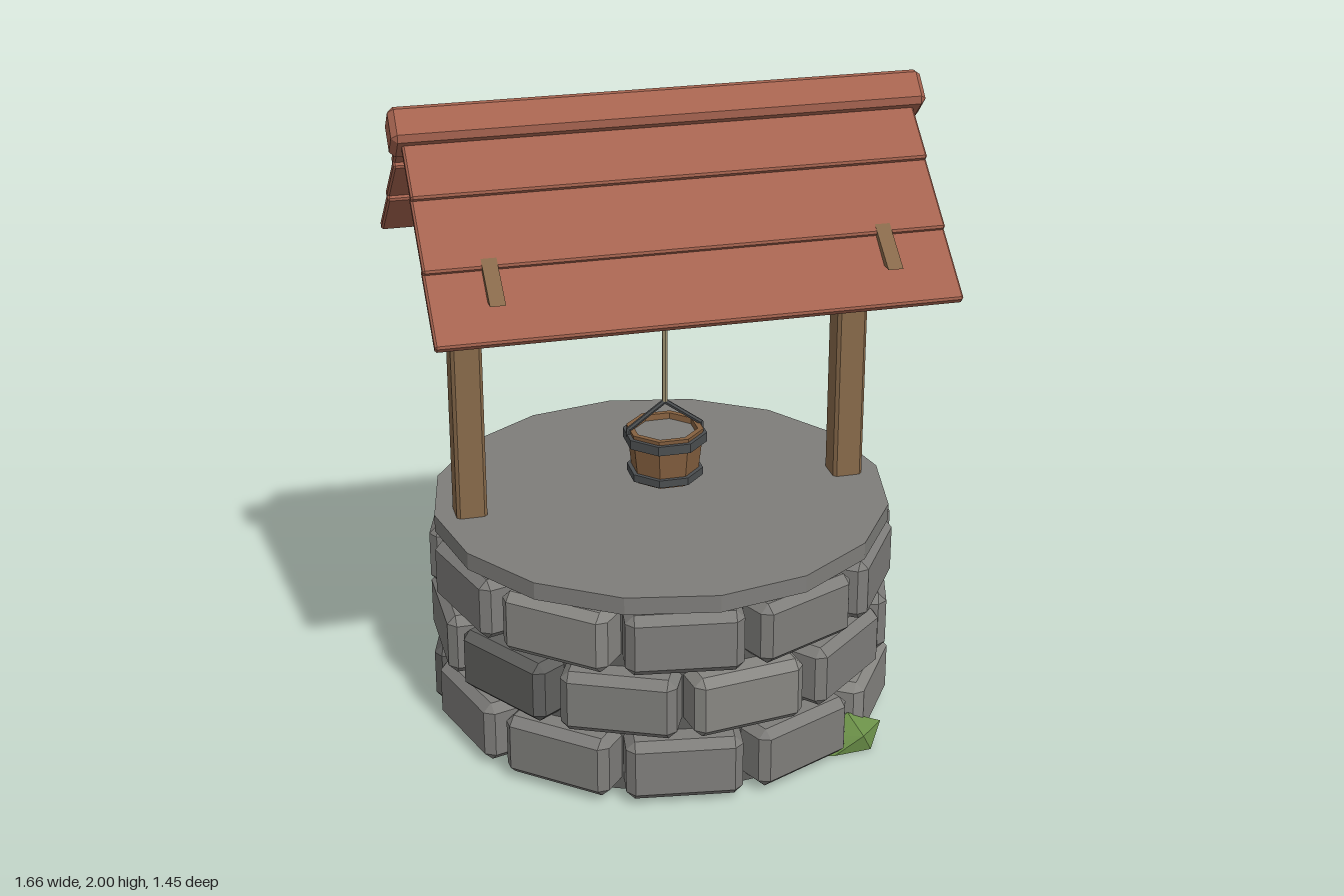
import * as THREE from 'three';
import { ConvexGeometry } from 'three/addons/geometries/ConvexGeometry.js';

const paint = (name, color) => {
  const m = new THREE.MeshStandardMaterial({ color, flatShading: true });
  m.name = name;
  return m;
};

// Box with one flat chamfer along every edge
function chamferBox(w, h, d, b) {
  const pts = [];
  for (const sx of [-1, 1]) for (const sy of [-1, 1]) for (const sz of [-1, 1]) {
    const x = sx * w / 2, y = sy * h / 2, z = sz * d / 2;
    const cx = x - sx * b, cy = y - sy * b, cz = z - sz * b;
    pts.push(new THREE.Vector3(x, cy, cz), new THREE.Vector3(cx, y, cz), new THREE.Vector3(cx, cy, z));
  }
  return new ConvexGeometry(pts);
}

export function createModel() {
  const stone = paint('stone', 0x7e7d7a);
  const darkStone = paint('dark stone', 0x5f5f5d);
  const lightStone = paint('light stone', 0x878682);
  const mortar = paint('mortar', 0x5c5c5a);
  const roofRed = paint('roof red', 0xa5634f);
  const wood = paint('wood', 0x87694a);
  const bucketWood = paint('bucket wood', 0x85603f);
  const ropeTan = paint('rope', 0x9c9070);
  const iron = paint('iron', 0x4b4e50);
  const leaf = paint('leaf green', 0x6c9149);

  const model = new THREE.Group();
  model.name = 'well';
  const cx = -0.033; // axis of the well
  const add = (name, geo, mat, x = 0, y = 0, z = 0, parent = model) => {
    const mesh = new THREE.Mesh(geo, mat);
    mesh.name = name;
    mesh.position.set(x, y, z);
    parent.add(mesh);
    return mesh;
  };
  // Straight rod between two points
  const rod = (name, a, b, r, mat, sides = 6) => {
    const p = new THREE.Vector3(...a), q = new THREE.Vector3(...b);
    const dir = q.clone().sub(p);
    const mesh = add(name, new THREE.CylinderGeometry(r, r, dir.length(), sides), mat);
    mesh.position.copy(p.add(q).multiplyScalar(0.5));
    mesh.quaternion.setFromUnitVectors(new THREE.Vector3(0, 1, 0), dir.normalize());
    return mesh;
  };

  // Core and rim slab
  add('core', new THREE.CylinderGeometry(0.635, 0.635, 0.63, 24), mortar, cx, 0.315);
  add('rim', new THREE.CylinderGeometry(0.715, 0.715, 0.055, 16), stone, cx, 0.672);

  // Three staggered courses of blocks
  const count = 11;
  const dark = [[6, 9], [4, 7, 10], [7, 10]];
  const light = [[1, 10], [2, 9], [4, 9]];
  const blockGeo = chamferBox(0.35, 0.197, 0.16, 0.026);
  for (let row = 0; row < 3; row++) {
    const course = new THREE.Group();
    course.name = 'stoneCourse' + (row + 1);
    course.position.set(cx, 0.114 + row * 0.212, 0);
    model.add(course);
    for (let k = 0; k < count; k++) {
      const a = (k + (row === 1 ? 0.5 : 0)) * Math.PI * 2 / count;
      const mat = dark[row].includes(k) ? darkStone : light[row].includes(k) ? lightStone : stone;
      const block = add('block', blockGeo, mat, 0.632 * Math.cos(a), 0, 0.632 * Math.sin(a), course);
      block.rotation.y = Math.PI / 2 - a;
    }
  }

  // Posts and gable boards
  const gable = new THREE.Shape([
    new THREE.Vector2(-0.475, 1.555), new THREE.Vector2(0.475, 1.555), new THREE.Vector2(0, 1.897),
  ]);
  const gableGeo = new THREE.ExtrudeGeometry(gable, { depth: 0.045, bevelEnabled: false });
  gableGeo.translate(0, 0, -0.0225).rotateY(Math.PI / 2);
  const postGeo = chamferBox(0.095, 1.03, 0.095, 0.01);
  for (const s of [-1, 1]) {
    add('post', postGeo, wood, cx + s * 0.604, 1.145, 0);
    add('gable', gableGeo, wood, cx + s * 0.579, 0, 0);
  }

  // Lapped roof planks on both slopes, from eaves to ridge
  const tilt = 0.68;
  const eaves = [[0.53, 1.462], [0.358, 1.62], [0.186, 1.78]];
  for (const s of [-1, 1]) {
    eaves.forEach(([z, y], i) => {
      const len = i === 2 ? 0.23 : 0.26;
      const plank = add('roofPlank', chamferBox(1.535, 0.028, len, 0.006), roofRed, cx,
        y + Math.sin(tilt) * len / 2, s * (z - Math.cos(tilt) * len / 2));
      plank.rotation.x = s * tilt;
    });
  }
  const ridge = add('ridge', chamferBox(1.602, 0.117, 0.117, 0.017), roofRed, cx + 0.003, 1.927, 0);
  ridge.rotation.x = Math.PI / 4;

  // Axle, wound rope and crank
  const axleY = 1.435;
  rod('axle', [-0.71, axleY, 0], [0.72, axleY, 0], 0.042, wood, 8);
  rod('ropeWinding', [-0.223, axleY, 0], [0.157, axleY, 0], 0.062, ropeTan, 10);
  add('crankArm', chamferBox(0.022, 0.19, 0.036, 0.005), iron, 0.72, 1.358, 0);
  rod('crankHandle', [0.712, 1.27, 0], [0.83, 1.27, 0], 0.016, wood, 8);

  // Rope and bucket
  const bz = 0.06;
  rod('rope', [cx, 1.03, bz], [cx, axleY, bz], 0.009, ropeTan);
  const bucket = new THREE.Group();
  bucket.name = 'bucket';
  bucket.position.set(cx, 0, bz);
  bucket.rotation.y = Math.PI / 8;
  model.add(bucket);
  const ring = (name, rTop, rBottom, h, y, mat) =>
    add(name, new THREE.CylinderGeometry(rTop, rBottom, h, 8), mat, 0, y, 0, bucket);
  const wall = new THREE.LatheGeometry([
    [0, 0.78], [0.102, 0.78], [0.12, 0.945], [0.102, 0.945], [0.1, 0.92],
  ].map(([r, y]) => new THREE.Vector2(r, y)), 8);
  add('bucketBody', wall, bucketWood, 0, 0, 0, bucket);
  ring('bucketWater', 0.1, 0.1, 0.008, 0.922, stone);
  const band = (y, r, h) => {
    const profile = [[r - 0.02, y - h / 2], [r, y - h / 2], [r, y + h / 2], [r - 0.02, y + h / 2]];
    add('bucketBand', new THREE.LatheGeometry(profile.map((p) => new THREE.Vector2(...p)), 8), iron, 0, 0, 0, bucket);
  };
  band(0.918, 0.131, 0.03);
  band(0.802, 0.119, 0.024);
  for (const s of [-1, 1]) {
    rod('bucketHandle', [cx + s * 0.115, 0.925, bz], [cx + s * 0.115, 0.95, bz], 0.008, iron);
    rod('bucketHandle', [cx + s * 0.117, 0.945, bz], [cx, 1.03, bz], 0.008, iron);
  }

  // Small faceted shrub at the foot of the wall
  const shrub = [
    [0.28, 0, 0.53], [0.43, 0.125, 0.52], [0.55, 0.06, 0.49], [0.52, 0, 0.44], [0.38, 0, 0.56],
    [0.5, 0, 0.55], [0.41, 0, 0.39], [0.47, 0.06, 0.565], [0.36, 0.06, 0.53],
  ];
  add('shrub', new ConvexGeometry(shrub.map((p) => new THREE.Vector3(...p))), leaf);

  return model;
}
